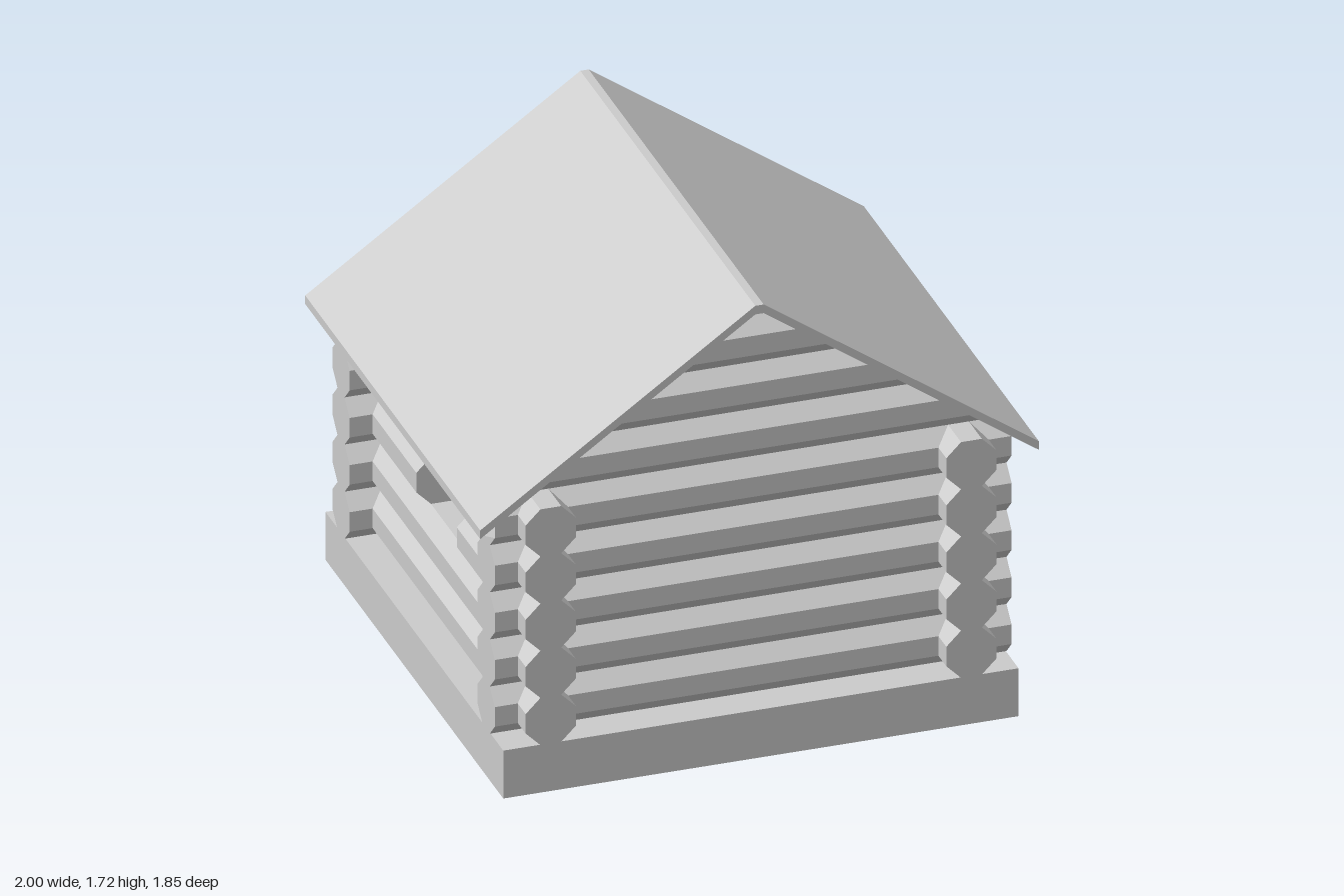
import * as THREE from 'three';

const LOG = 0.18;        // log thickness, flat to flat, and row pitch
const BASE = 0.183;      // top of the base slab
const WALL = 0.753;      // distance of wall centre lines from the middle
const END = 0.925;       // reach of the log ends
const ROWS = 5;          // full rows of logs below the gables
const SLOPE = 0.7;
const EAVE = 0.997;      // underside of the roof at x = 1

const material = new THREE.MeshStandardMaterial({ color: 0xcccccc, flatShading: true });

function addMesh(parent, geometry, name) {
  const mesh = new THREE.Mesh(geometry, material);
  mesh.name = name;
  parent.add(mesh);
  return mesh;
}

// Octagonal log lying along z from a to b, with flat top and bottom
function logGeometry(a, b) {
  const r = LOG / 2 / Math.cos(Math.PI / 8);
  const points = [];
  for (let i = 0; i < 8; i++) {
    const t = (i + 0.5) * Math.PI / 4;
    points.push(new THREE.Vector2(r * Math.cos(t), r * Math.sin(t)));
  }
  const g = new THREE.ExtrudeGeometry(new THREE.Shape(points), { depth: b - a, bevelEnabled: false });
  return g.translate(0, 0, a);
}

const rowHeight = (row) => BASE + LOG * (row + 0.5);

// Log along x whose ends are trimmed to the underside of the roof
function crossLog(a, b, row, z) {
  const g = logGeometry(a, b).rotateY(Math.PI / 2).translate(0, rowHeight(row), z);
  const p = g.attributes.position;
  for (let i = 0; i < p.count; i++) {
    const limit = 1 - (p.getY(i) - EAVE) / SLOPE;
    p.setX(i, THREE.MathUtils.clamp(p.getX(i), -limit, limit));
  }
  g.computeVertexNormals();
  return g;
}

const sideLog = (a, b, row, x) => logGeometry(a, b).translate(x, rowHeight(row), 0);

// Wall of stacked logs; rows inside the opening are split in two
function addWall(parent, name, makeLog, rows, offset, opening) {
  const wall = new THREE.Group();
  wall.name = name;
  for (let row = 0; row < rows; row++) {
    const reach = row < ROWS ? END : 1;
    const open = opening && row >= opening.from && row <= opening.to;
    const spans = open ? [[-reach, opening.a], [opening.b, reach]] : [[-reach, reach]];
    for (const [a, b] of spans) {
      addMesh(wall, makeLog(a, b, row, offset), row < ROWS ? 'wallLog' : 'gableLog');
    }
  }
  parent.add(wall);
}

export function createModel() {
  const cabin = new THREE.Group();
  cabin.name = 'logCabin';

  // Base slab
  addMesh(cabin, new THREE.BoxGeometry(1.845, BASE, 1.845).translate(0, BASE / 2, 0), 'base');

  // Walls: gabled front and back, doorway in the back, window in one side
  const door = { from: 0, to: 3, a: -0.23, b: 0.21 };
  const windowGap = { from: 2, to: 3, a: -0.21, b: 0.21 };
  addWall(cabin, 'frontWall', crossLog, ROWS + 3, WALL);
  addWall(cabin, 'backWall', crossLog, ROWS + 3, -WALL, door);
  addWall(cabin, 'leftWall', sideLog, ROWS, WALL);
  addWall(cabin, 'rightWall', sideLog, ROWS, -WALL, windowGap);

  // Thin pitched roof with a narrow flat ridge
  const roof = new THREE.Shape([
    [1, EAVE], [1, 1.03], [0.015, 1.72], [-0.015, 1.72], [-1, 1.03],
    [-1, EAVE], [-0.015, 1.687], [0.015, 1.687],
  ].map(([x, y]) => new THREE.Vector2(x, y)));
  const roofGeometry = new THREE.ExtrudeGeometry(roof, { depth: 1.816, bevelEnabled: false });
  addMesh(cabin, roofGeometry.translate(0, 0, -0.908), 'roof');

  return cabin;
}
